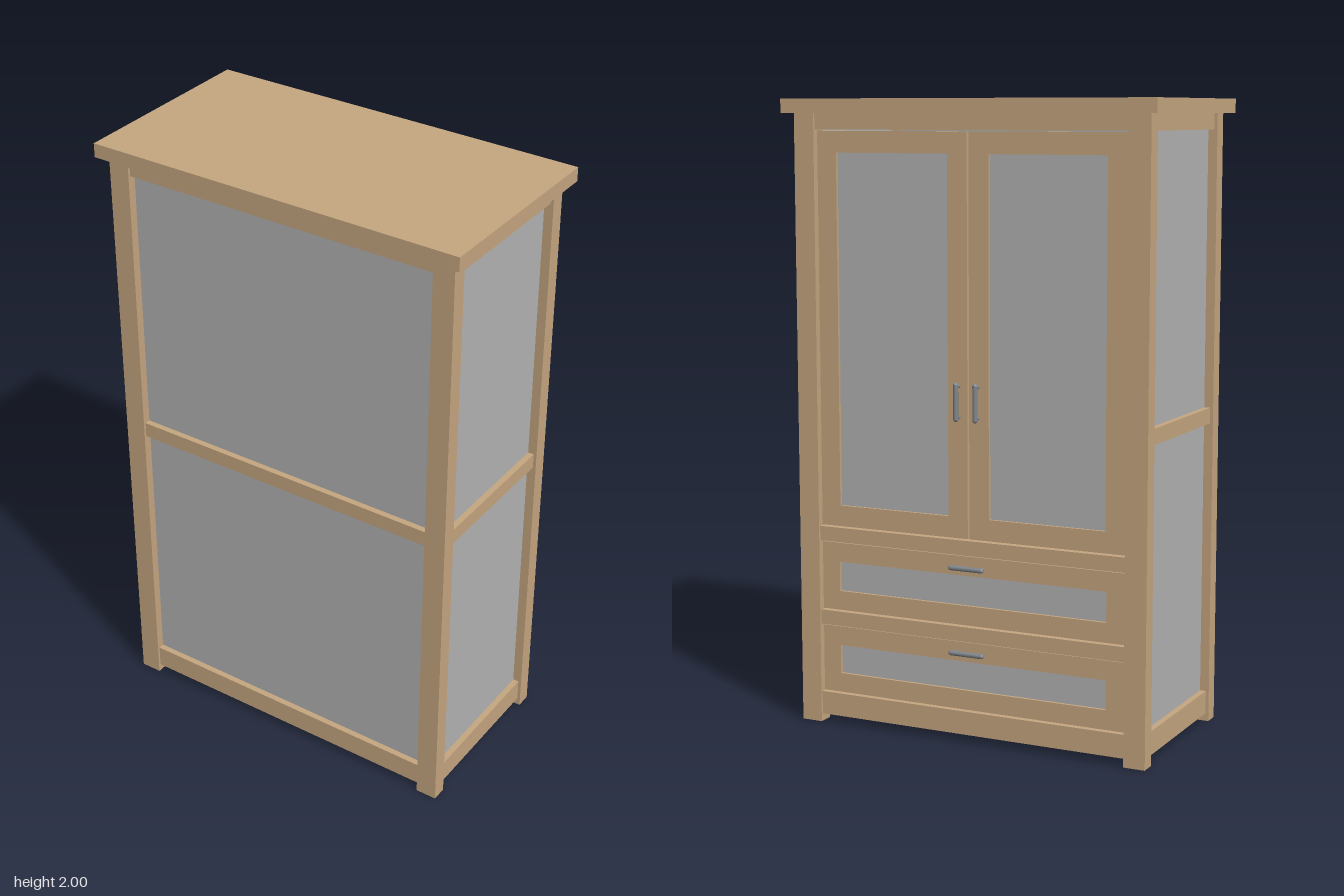
import * as THREE from 'three';

const wood = new THREE.MeshStandardMaterial({ color: 0xc4a57f });
wood.name = 'oak wood';
const grey = new THREE.MeshStandardMaterial({ color: 0xb2b2b2 });
grey.name = 'grey panel';
const metal = new THREE.MeshStandardMaterial({ color: 0x80868c });
metal.name = 'handle metal';

// Box given by its lower and upper corners
function box(parent, name, mat, [x0, y0, z0], [x1, y1, z1]) {
  const mesh = new THREE.Mesh(new THREE.BoxGeometry(x1 - x0, y1 - y0, z1 - z0), mat);
  mesh.position.set((x0 + x1) / 2, (y0 + y1) / 2, (z0 + z1) / 2);
  mesh.name = name;
  parent.add(mesh);
  return mesh;
}

// Framed leaf with a recessed grey panel, facing -z
function framedLeaf(name, x0, x1, y0, y1, bar) {
  const leaf = new THREE.Group();
  leaf.name = name;
  const front = -0.284, back = -0.254;
  box(leaf, 'stile', wood, [x0, y0, front], [x0 + bar, y1, back]);
  box(leaf, 'stile', wood, [x1 - bar, y0, front], [x1, y1, back]);
  box(leaf, 'leafRail', wood, [x0 + bar, y0, front], [x1 - bar, y0 + bar, back]);
  box(leaf, 'leafRail', wood, [x0 + bar, y1 - bar, front], [x1 - bar, y1, back]);
  box(leaf, 'leafPanel', grey, [x0 + bar, y0 + bar, front + 0.01], [x1 - bar, y1 - bar, back - 0.005]);
  return leaf;
}

// Bar handle on two short stand-offs, running along y
function handle(x, y, horizontal) {
  const g = new THREE.Group();
  g.name = 'handle';
  const grip = new THREE.Mesh(new THREE.CapsuleGeometry(0.008, 0.106, 4, 12), metal);
  grip.name = 'grip';
  g.add(grip);
  for (const s of [-1, 1]) {
    const post = new THREE.Mesh(new THREE.CylinderGeometry(0.006, 0.006, 0.022, 10), metal);
    post.rotation.x = Math.PI / 2;
    post.position.set(0, s * 0.048, 0.011);
    post.name = 'standOff';
    g.add(post);
  }
  g.position.set(x, y, -0.304);
  if (horizontal) g.rotation.z = Math.PI / 2;
  return g;
}

export function createModel() {
  const cabinet = new THREE.Group();
  cabinet.name = 'cabinet';

  box(cabinet, 'topBoard', wood, [-0.63, 1.955, -0.33], [0.63, 2, 0.33]);
  box(cabinet, 'bottomBoard', wood, [-0.575, 0.025, -0.285], [0.575, 0.05, 0.285]);

  // Corner posts
  for (const sx of [-1, 1]) for (const sz of [-1, 1]) {
    const post = box(cabinet, 'cornerPost', wood, [0.53, 0, 0.25], [0.6, 1.955, 0.3]);
    post.position.x *= sx;
    post.position.z *= sz;
  }

  // Rails and infill panels of the plain long face and both ends
  const rails = [[0.025, 0.1], [0.98, 1.03], [1.905, 1.955]];
  for (const [y0, y1] of rails) {
    box(cabinet, 'longRail', wood, [-0.53, y0, 0.255], [0.53, y1, 0.292]);
    box(cabinet, 'endRail', wood, [0.545, y0, -0.25], [0.59, y1, 0.25]);
    box(cabinet, 'endRail', wood, [-0.59, y0, -0.25], [-0.545, y1, 0.25]);
  }
  for (const [y0, y1] of [[0.1, 0.98], [1.03, 1.905]]) {
    box(cabinet, 'longPanel', grey, [-0.53, y0, 0.26], [0.53, y1, 0.272]);
    box(cabinet, 'endPanel', grey, [0.555, y0, -0.25], [0.57, y1, 0.25]);
    box(cabinet, 'endPanel', grey, [-0.57, y0, -0.25], [-0.555, y1, 0.25]);
  }

  // Rails between the doors and drawers
  for (const [y0, y1] of [[0.025, 0.1], [0.325, 0.372], [0.6, 0.647], [1.905, 1.955]])
    box(cabinet, 'doorSideRail', wood, [-0.53, y0, -0.293], [0.53, y1, -0.25]);

  // Two doors
  for (const s of [-1, 1]) {
    const [x0, x1] = s > 0 ? [0.003, 0.526] : [-0.526, -0.003];
    cabinet.add(framedLeaf('door', x0, x1, 0.651, 1.901, 0.067));
    cabinet.add(handle(s * 0.033, 1.08, false));
  }

  // Two drawers
  for (const [y0, y1, grip] of [[0.104, 0.321, 0.288], [0.376, 0.596, 0.56]]) {
    cabinet.add(framedLeaf('drawer', -0.526, 0.526, y0, y1, 0.062));
    cabinet.add(handle(0, grip, true));
  }
  return cabinet;
}
